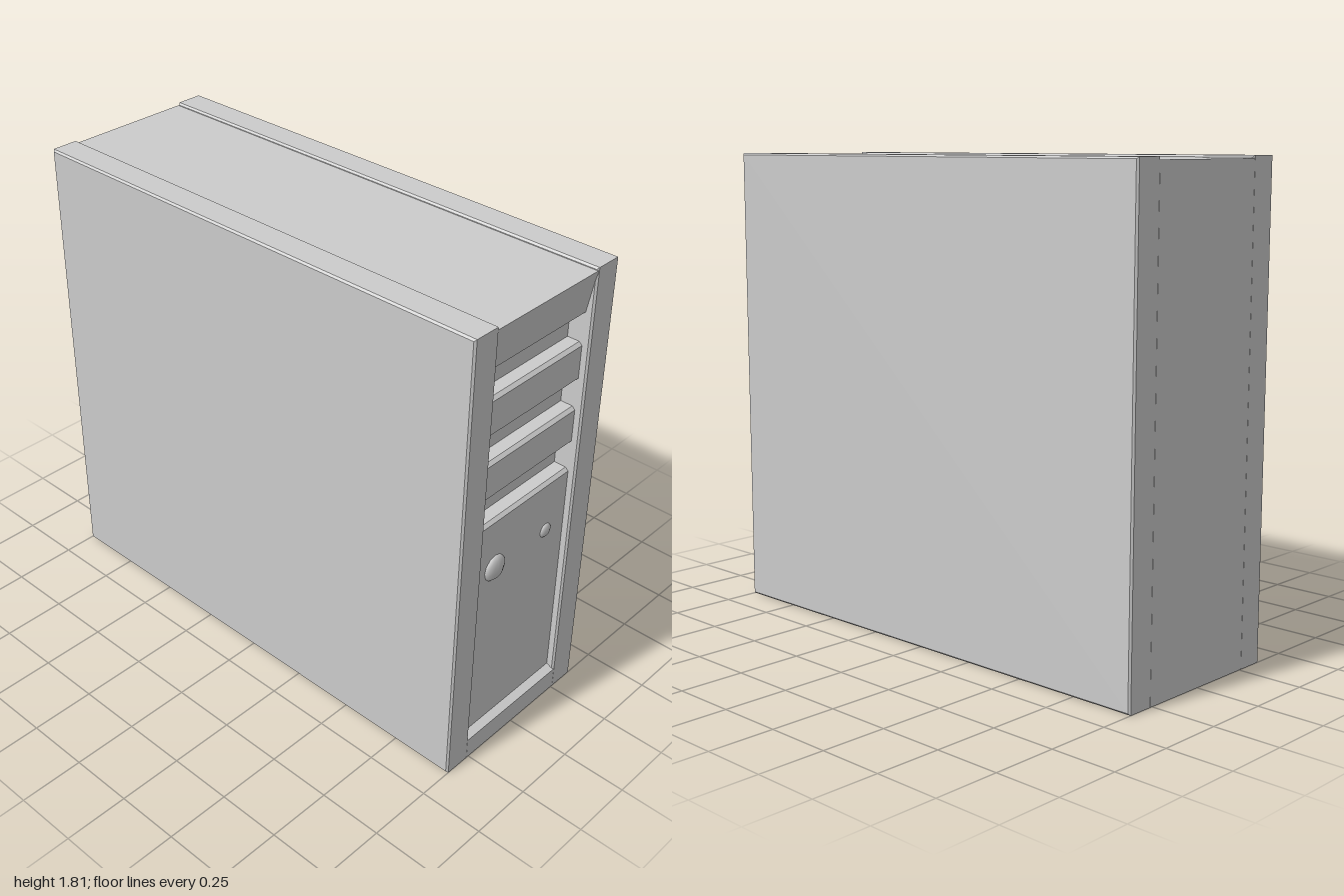
import * as THREE from 'three';

const W = 1, H = 1.81, Z = 0.37, INNER = 0.26;
const FACE = 0.97, SLOT = 0.91, C = 0.012; // panel plane, slot back plane, chamfer
const BEVEL = 0.007;

const shapeOf = (points) => new THREE.Shape(points.map(([x, y]) => new THREE.Vector2(x, y)));

export function createModel() {
  const group = new THREE.Group();
  const material = new THREE.MeshStandardMaterial({ color: 0xcccccc });
  const add = (name, geometry) => {
    const mesh = new THREE.Mesh(geometry, material);
    mesh.name = name;
    group.add(mesh);
    return mesh;
  };

  // Central body: side profile with raised foot, panel, drive bays and sloping brow
  const profile = [[-W, 0], [W, 0], [W, 0.085], [FACE, 0.1]];
  for (const y of [1.0, 1.255, 1.51]) {
    profile.push([FACE, y], [FACE - C, y + C], [SLOT, y + C], [SLOT, y + 0.138], [FACE, y + 0.128]);
  }
  profile.push([W, H - 0.01], [-W, H - 0.01]);
  const core = new THREE.ExtrudeGeometry(shapeOf(profile), { depth: 2 * INNER, bevelEnabled: false });
  core.translate(0, 0, -INNER);
  add('towerBody', core);

  // Side panels with thin chamfered edges, standing proud of the panel and top
  const b = BEVEL;
  const sideShape = shapeOf([[-W + b, b], [W - b, b], [W - b, H - b], [-W + b, H - b]]);
  const inside = INNER - 0.006;
  for (const [name, z] of [['frontSidePanel', inside], ['backSidePanel', -Z]]) {
    const side = new THREE.ExtrudeGeometry(sideShape, {
      depth: Z - inside - 2 * b, bevelEnabled: true, bevelThickness: b, bevelSize: b, bevelSegments: 1,
    });
    side.translate(0, 0, z + b);
    add(name, side);
  }

  // Flattened round buttons
  for (const [name, z, r] of [['powerButton', 0.14, 0.053], ['resetButton', -0.147, 0.029]]) {
    const button = add(name, new THREE.SphereGeometry(r, 8, 6).rotateX(Math.PI / 2));
    button.scale.x = 0.4;
    button.position.set(FACE, 0.8, z);
  }
  return group;
}
